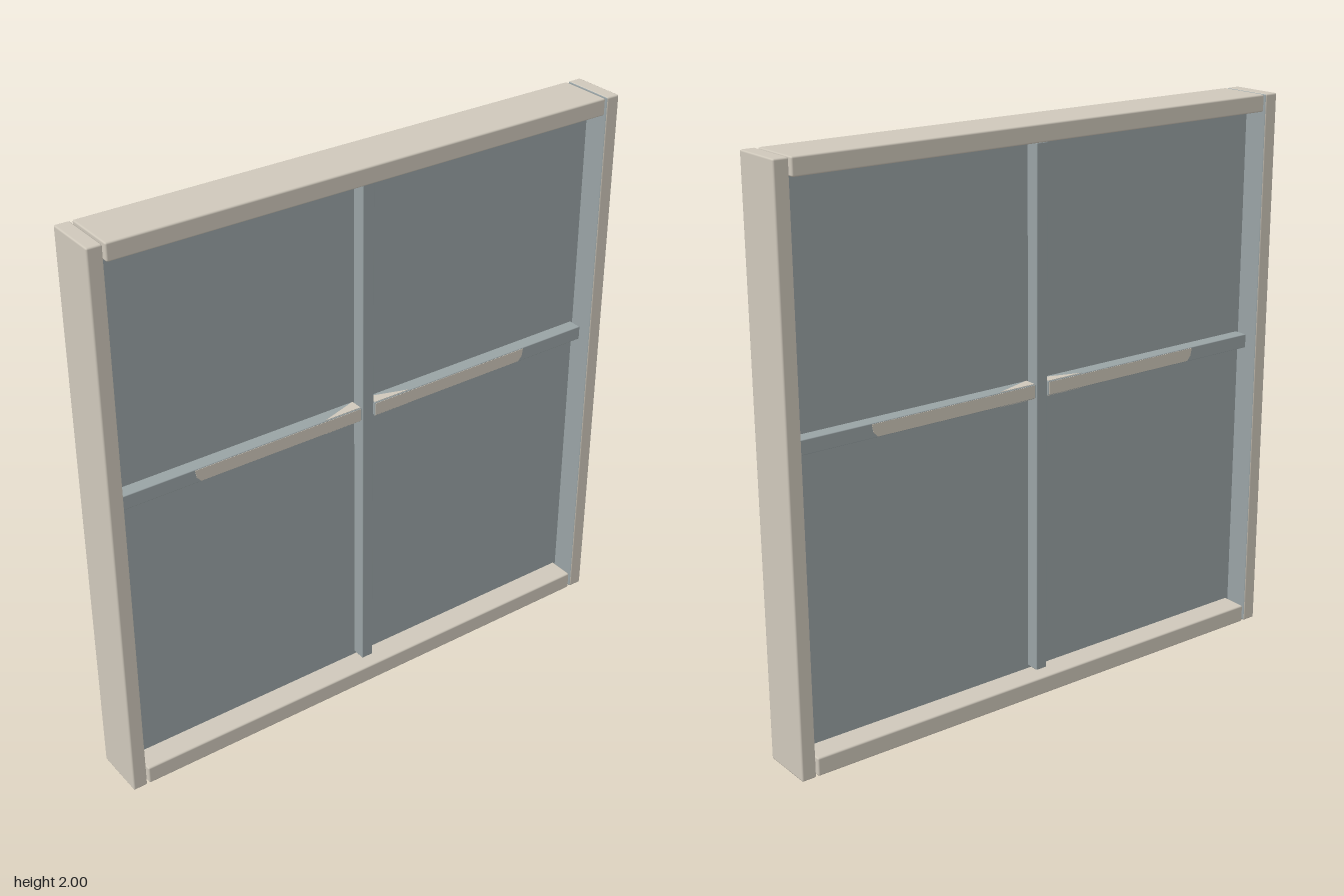
import * as THREE from 'three';
import { RoundedBoxGeometry } from 'three/addons/geometries/RoundedBoxGeometry.js';

const frameMat = new THREE.MeshStandardMaterial({ color: 0xcfc8bb });
frameMat.name = 'warm beige';
const glassMat = new THREE.MeshStandardMaterial({ color: 0x99a3a5 });
glassMat.name = 'blue grey';

// Bar with softened edges, given by its limits; depth is centred on z = 0
function bar(name, x0, x1, y0, y1, depth, material, radius = 0.006) {
  const geo = new RoundedBoxGeometry(x1 - x0, y1 - y0, depth, 1, radius);
  const mesh = new THREE.Mesh(geo, material);
  mesh.position.set((x0 + x1) / 2, (y0 + y1) / 2, 0);
  mesh.name = name;
  return mesh;
}

// Thin flat plate cut from a polygon
function plate(name, points) {
  const shape = new THREE.Shape(points.map(([x, y]) => new THREE.Vector2(x, y)));
  const geo = new THREE.ExtrudeGeometry(shape, { depth: 0.002, bevelEnabled: false });
  const mesh = new THREE.Mesh(geo, frameMat);
  mesh.name = name;
  return mesh;
}

export function createModel() {
  const group = new THREE.Group();
  group.name = 'window';

  const depth = 0.194;
  const barDepth = 0.11;
  const y0 = 1.08, y1 = 1.13;

  // Side jambs, blue grey on the inner face
  const b = frameMat, g = glassMat;
  group.add(bar('leftJamb', 0.945, 0.997, 0, 2, depth, [b, g, b, b, b, b]));
  group.add(bar('rightJamb', -0.997, -0.945, 0, 2, depth, [g, b, b, b, b, b]));

  // Top and bottom rails
  group.add(bar('topRail', -0.937, 0.937, 1.94, 2, depth, b));
  group.add(bar('bottomRail', -0.937, 0.937, 0, 0.065, depth, b));

  // Glass pane
  const pane = new THREE.Mesh(new THREE.BoxGeometry(1.888, 1.91, 0.012), g);
  pane.position.y = 1;
  pane.name = 'glassPane';
  group.add(pane);

  // Glazing bars
  group.add(bar('verticalBar', -0.022, 0.022, 0.075, 1.932, barDepth, g, 0.003));
  group.add(bar('leftCrossBar', 0.027, 0.937, y0, y1, barDepth, g, 0.003));
  group.add(bar('rightCrossBar', -0.937, -0.027, y0, y1, barDepth, g, 0.003));

  // Beige areas on the cross bars, the same on front and back
  for (const turn of [0, Math.PI]) {
    const side = new THREE.Group();
    side.name = turn ? 'backBarPaint' : 'frontBarPaint';
    side.rotation.y = turn;
    for (const s of [-1, 1]) {
      const face = plate('barFacePaint', [
        [s * 0.03, y0 + 0.003], [s * 0.65, y0 + 0.003], [s * 0.665, y0 + 0.02],
        [s * 0.67, y1 - 0.003], [s * 0.03, y1 - 0.003],
      ]);
      face.position.z = barDepth / 2 - 0.0005;
      side.add(face);

      // Wedges beside the vertical bar, above and below
      for (const [name, y] of [['barTopPaint', y1 + 0.0015], ['barUndersidePaint', y0 + 0.0005]]) {
        const wedge = plate(name, [[s * 0.03, 0.007], [s * 0.17, 0.052], [s * 0.03, 0.052]]);
        wedge.rotation.x = Math.PI / 2;
        wedge.position.y = y;
        side.add(wedge);
      }
    }
    group.add(side);
  }
  return group;
}
